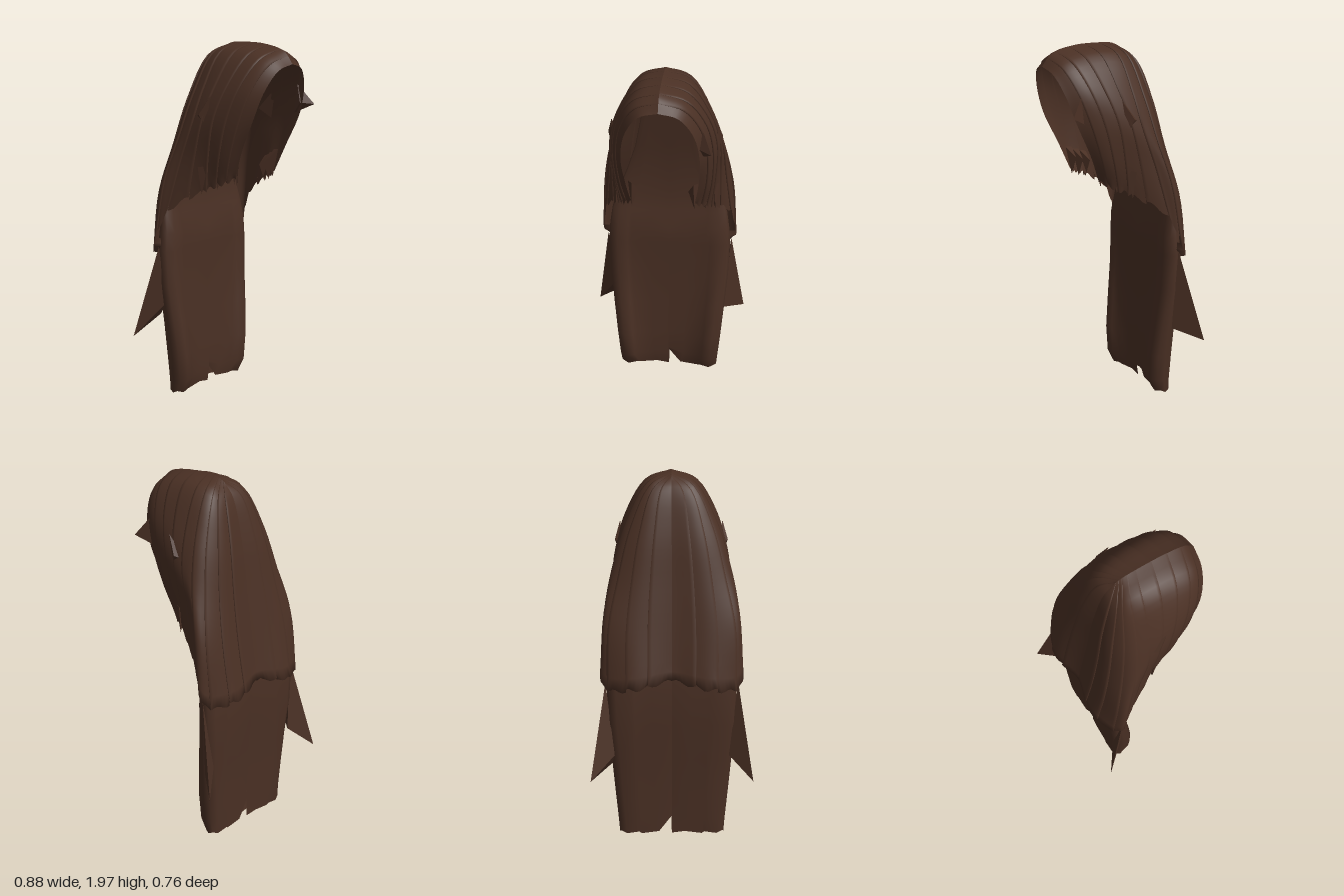
import * as THREE from 'three';

const hair = new THREE.MeshStandardMaterial({ color: 0x4a3024, side: THREE.DoubleSide });
hair.name = 'dark brown hair';

// Key strands, from the hairline back to the nape; each runs from the parting to the hem
const STRANDS = [
  [0, 1.885, .385, .10, 1.855, .37, .175, 1.75, .335, .205, 1.6, .285, .195, 1.42, .2, .17, 1.27, .14],
  [0, 1.95, .33, .13, 1.9, .295, .22, 1.77, .24, .255, 1.6, .18, .25, 1.4, .12, .22, 1.24, .07],
  [0, 1.985, .2, .13, 1.935, .17, .235, 1.78, .12, .285, 1.6, .06, .28, 1.4, .02, .26, 1.2, -.01],
  [0, 1.99, .05, .13, 1.94, .01, .24, 1.75, -.02, .298, 1.57, -.05, .32, 1.35, -.12, .35, 1.08, -.19],
  [0, 1.985, -.02, .115, 1.925, -.08, .23, 1.7, -.13, .30, 1.45, -.18, .355, 1.2, -.24, .365, .86, -.28],
  [0, 1.975, -.05, .09, 1.9, -.12, .15, 1.68, -.19, .19, 1.4, -.245, .21, 1.15, -.295, .21, .86, -.35],
  [0, 1.965, -.07, 0, 1.9, -.13, 0, 1.68, -.195, 0, 1.4, -.24, 0, 1.15, -.28, 0, .9, -.32],
];

// Lower length: y, half width, front z, back z, how far the middle of the front is hollowed
const LEVELS = [
  [1.65, .15, -.175, -.185, 0], [1.45, .19, -.208, -.22, 0], [1.3, .24, -.225, -.245, 0],
  [1.15, .30, -.225, -.26, 0], [1.05, .33, -.212, -.275, 0], [.95, .345, -.192, -.285, 0],
  [.85, .352, -.188, -.295, .05], [.65, .345, -.18, -.295, .15], [.45, .328, -.158, -.28, .28],
  [.25, .31, -.138, -.275, .36], [.1, .295, -.142, -.27, .38], [.02, .287, -.18, -.265, .3],
];
// Half outline of the lower length: fraction of width, fraction from front to back, share of the hollow
const OUTLINE = [[0, .05, 1], [.3, .05, .95], [.62, .05, .75], [.68, 0, .15], [.85, 0, 0], [.97, .2, 0], [1, .5, 0],
  [.97, .8, 0], [.86, .95, 0], [.62, 1, 0], [.58, .94, 0], [.3, .94, 0], [0, .85, 0]];

// Surface through a grid of points; flip reverses the faces
function surface(point, nu, nv, flip) {
  const positions = [], index = [];
  for (let i = 0; i <= nu; i++) for (let j = 0; j <= nv; j++) positions.push(...point(i, j));
  for (let i = 0; i < nu; i++) for (let j = 0; j < nv; j++) {
    const a = i * (nv + 1) + j, b = a + nv + 1;
    if (flip) index.push(a, a + 1, b, b, a + 1, b + 1);
    else index.push(a, b, a + 1, b, b + 1, a + 1);
  }
  const g = new THREE.BufferGeometry();
  g.setAttribute('position', new THREE.Float32BufferAttribute(positions, 3));
  g.setIndex(index);
  g.computeVertexNormals();
  return g;
}

function add(parent, geometry, name) {
  const mesh = new THREE.Mesh(geometry, hair);
  mesh.name = name;
  parent.add(mesh);
}

// Flat-sided pointed lock from four corners
function lock(parent, corners, name) {
  const p = [];
  for (const f of [[0, 1, 2], [0, 3, 1], [0, 2, 3], [1, 3, 2]]) for (const k of f) p.push(...corners[k]);
  const g = new THREE.BufferGeometry();
  g.setAttribute('position', new THREE.Float32BufferAttribute(p, 3));
  g.computeVertexNormals();
  add(parent, g, name);
}

export function createModel() {
  const model = new THREE.Group();
  model.name = 'longHair';

  const curves = STRANDS.map(s => {
    const pts = [];
    for (let k = 0; k < s.length; k += 3) pts.push(new THREE.Vector3(s[k], s[k + 1], s[k + 2]));
    return new THREE.CatmullRomCurve3(pts);
  });
  // Point on the upper layer: s goes round the head, row j goes down the strand
  const NT = 24;
  const rounds = [];
  for (let j = 0; j <= NT; j++) {
    const row = curves.map(c => c.getPoint(j / NT));
    const m = row[5].clone();
    m.x *= -1;
    rounds.push(new THREE.CatmullRomCurve3([...row, m]));
  }
  const at = (s, j) => rounds[j].getPoint(s / 7);

  for (const side of [1, -1]) {
    const label = side > 0 ? 'left' : 'right';
    const half = new THREE.Group();
    half.name = label + 'Half';
    model.add(half);

    // Upper layer in strips, each with a raised and closed front edge
    const STRIPS = 10;
    for (let k = 0; k < STRIPS; k++) {
      const s0 = k * 6 / STRIPS, s1 = (k + 1) * 6 / STRIPS;
      const strip = surface((i, j) => {
        const a = Math.max(0, i - 1) / 6, s = s0 + (s1 - s0) * a;
        const row = Math.min(j, NT);
        const p = at(s, row);
        const ds = at(s + .05, row).sub(at(Math.max(0, s - .05), row));
        const dt = at(s, Math.min(NT, row + 1)).sub(at(s, Math.max(0, row - 1)));
        const n = dt.cross(ds).normalize();
        const lift = i && k ? .008 * (1 - a) * Math.min(1, row / 6) : 0;
        // The last row turns the hem inwards
        p.addScaledVector(n, j > NT ? -.04 : lift);
        if (row === NT) p.y += .012 * Math.sin(a * Math.PI * 2 + k * 1.7);
        return [side * Math.max(0, p.x), p.y, p.z];
      }, 7, k < 6 ? NT : NT + 1, side > 0);
      add(half, strip, label + 'UpperStrand' + (k + 1));
    }

    // Lower length, with a notch beside the middle at the bottom
    const last = LEVELS.length - 1;
    const lower = surface((i, j) => {
      const [f, d, share] = OUTLINE[i], [y, w, zf, zb, hollow] = LEVELS[j];
      let yy = y;
      if (j === last) yy += i % 2 ? .012 : 0;
      if (side > 0 && f === 0 && j >= last - 1) yy = j === last ? .12 : .14;
      const x = j === last && f === .3 ? .07 : f * w;
      return [side * x, yy, zf + (zb - zf) * (d + share * hollow)];
    }, OUTLINE.length - 1, last, side < 0);
    add(half, lower, label + 'LowerLength');

    // Flicked-out lock at the side
    const dy = side > 0 ? .42 : .55;
    lock(half, [[.358, .88, -.25], [.438, .36, -.378], [.325, dy, -.235], [.31, .48, -.285]]
      .map(([x, y, z]) => [side * x, y, z]), label + 'FlickedLock');

    // Pointed locks in front of the shoulder
    for (const [x, y, z] of [[.17, 1.24, .13], [.225, 1.21, .06], [.275, 1.185, -.01]]) {
      lock(half, [[side * (x - .005), y + .16, z + .04], [side * x, y, z], [side * (x + .02), y + .15, z - .01],
        [side * (x - .035), y + .1, z - .01]], label + 'ShoulderLock');
    }
    // Small lock standing out at the temple
    lock(half, [[side * .28, 1.72, .06], [side * .308, 1.62, .0], [side * .285, 1.55, .03], [side * .27, 1.6, -.05]],
      label + 'TempleLock');
  }

  // Single stray lock by the cheek
  lock(model, [[.215, 1.76, .26], [.268, 1.65, .338], [.215, 1.6, .24], [.2, 1.66, .29]], 'strayLock');
  return model;
}
